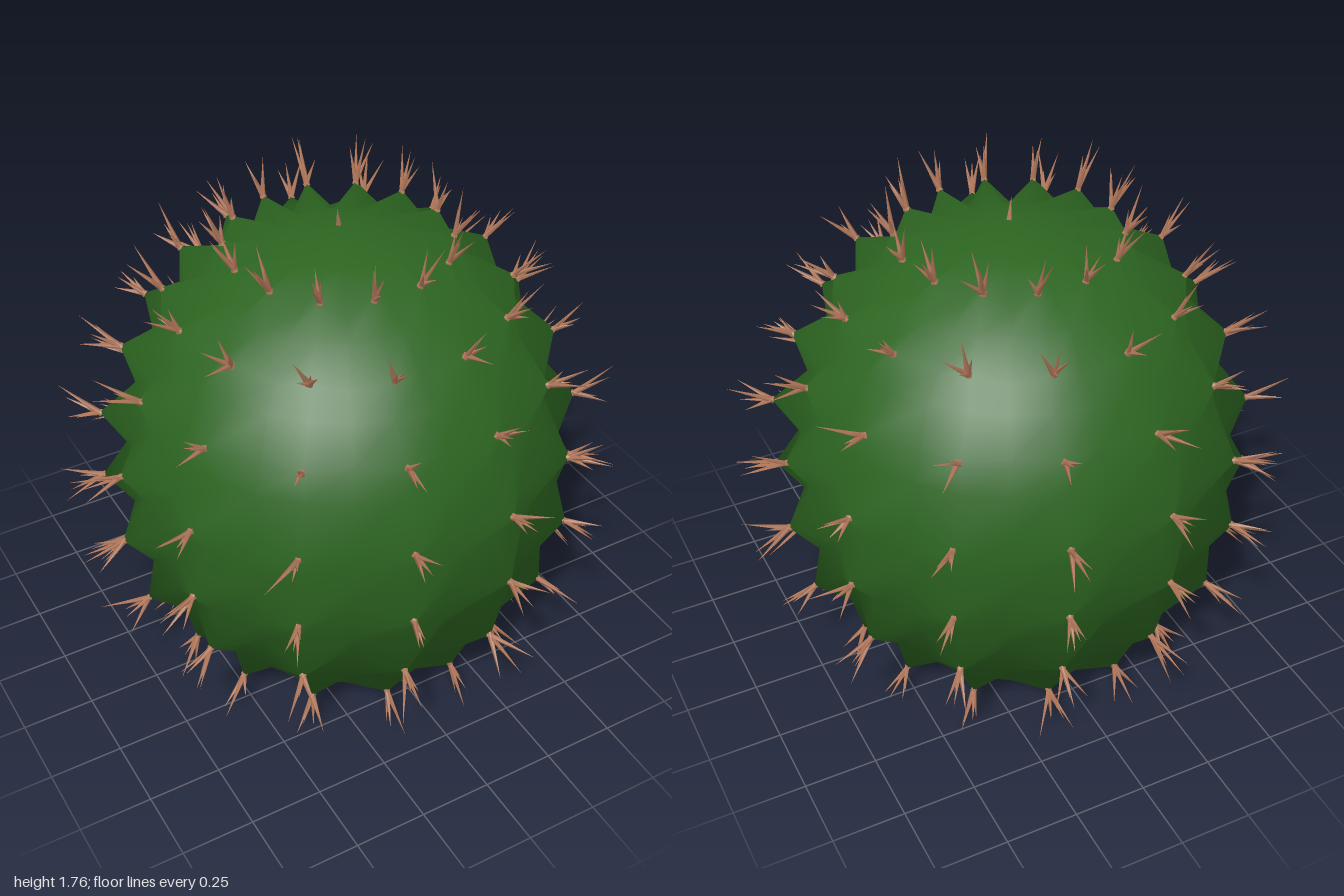
import * as THREE from 'three';
import { mergeGeometries } from 'three/addons/utils/BufferGeometryUtils.js';

const RIBS = 14, SEG = RIBS * 2, BUMP = 0.1;
const CENTER = new THREE.Vector3(0, 0.82, 0);

// Profile from base to crown as [radius, y]; odd rings carry the bumps
const PROFILE = [
  [0.42, 0.02], [0.58, 0.12], [0.62, 0.27], [0.75, 0.39], [0.72, 0.55], [0.82, 0.68],
  [0.73, 0.82], [0.81, 0.95], [0.68, 1.07], [0.72, 1.22], [0.58, 1.3], [0.57, 1.44],
  [0.42, 1.48], [0.37, 1.6], [0.19, 1.6],
];
const APEX = new THREE.Vector3(0, 1.65, 0);

// Small seeded generator
let seed = 7;
function rand() {
  seed = (seed * 16807) % 2147483647;
  return seed / 2147483647;
}

const outward = (p) => p.clone().sub(CENTER).normalize();

function ringPoint(i, k) {
  const [r, y] = PROFILE[i];
  const a = (k / SEG) * Math.PI * 2;
  const p = new THREE.Vector3(r * Math.cos(a), y, r * Math.sin(a));
  // Grooves between the ribs sink towards the middle
  if (i % 2 === 1 && k % 2 === 1) p.addScaledVector(outward(p), -BUMP);
  return p;
}

// Bumpy skin, with round normals so that the shading stays soft
function bodyGeometry() {
  const pos = [], nor = [], index = [];
  const add = (p) => {
    pos.push(...p.toArray());
    nor.push(...outward(p).toArray());
  };
  for (let i = 0; i < PROFILE.length; i++)
    for (let k = 0; k < SEG; k++) add(ringPoint(i, k));
  add(APEX);
  const top = PROFILE.length * SEG;
  for (let k = 0; k < SEG; k++) {
    const n = (k + 1) % SEG;
    for (let i = 0; i < PROFILE.length - 1; i++) {
      const a = i * SEG + k, b = i * SEG + n, c = a + SEG, d = b + SEG;
      index.push(a, c, b, b, c, d);
    }
    index.push(top - SEG + k, top, top - SEG + n);
  }
  const g = new THREE.BufferGeometry();
  g.setAttribute('position', new THREE.Float32BufferAttribute(pos, 3));
  g.setAttribute('normal', new THREE.Float32BufferAttribute(nor, 3));
  g.setIndex(index);
  return g;
}

// One thin four-sided spine from a point along a direction
function spine(base, dir, length) {
  const g = new THREE.ConeGeometry(0.011, length, 4, 1, true);
  g.translate(0, length / 2 - 0.01, 0);
  g.applyQuaternion(new THREE.Quaternion().setFromUnitVectors(new THREE.Vector3(0, 1, 0), dir));
  return g.translate(base.x, base.y, base.z);
}

// A tuft of spines fanning out around the surface direction
function tuft(base, list) {
  const n = outward(base);
  const side = new THREE.Vector3(-n.z, 0, n.x);
  if (side.lengthSq() < 1e-6) side.set(1, 0, 0);
  side.normalize();
  const up = new THREE.Vector3().crossVectors(side, n);
  const turn = rand() * Math.PI * 2;
  for (let j = 0; j < 4; j++) {
    const a = turn + (j * Math.PI) / 2 + (rand() - 0.5);
    const tilt = 0.1 + rand() * 0.5;
    const dir = n.clone()
      .addScaledVector(side, Math.cos(a) * tilt)
      .addScaledVector(up, Math.sin(a) * tilt)
      .normalize();
    let length = 0.08 + rand() * 0.1;
    // Keep the lowest tips above the ground
    if (dir.y < 0) length = Math.min(length, base.y / -dir.y);
    list.push(spine(base, dir, length));
  }
}

export function createModel() {
  const group = new THREE.Group();
  group.name = 'cactus';
  const green = new THREE.MeshStandardMaterial({ color: 0x2c6420 });
  const brown = new THREE.MeshStandardMaterial({ color: 0xb87c5e });

  const body = new THREE.Mesh(bodyGeometry(), green);
  body.name = 'body';
  group.add(body);

  // Flat underside
  const base = new THREE.Mesh(new THREE.CircleGeometry(PROFILE[0][0], SEG), green);
  base.name = 'base';
  base.rotation.x = Math.PI / 2;
  base.position.y = PROFILE[0][1];
  group.add(base);

  // Tufts on every bump and on the crown
  const list = [];
  for (let i = 1; i < PROFILE.length; i += 2)
    for (let k = 0; k < SEG; k += 2) tuft(ringPoint(i, k), list);
  list.push(spine(APEX, new THREE.Vector3(-0.2, 1, 0.2).normalize(), 0.08));
  const spines = new THREE.Mesh(mergeGeometries(list), brown);
  spines.name = 'spines';
  group.add(spines);
  return group;
}
